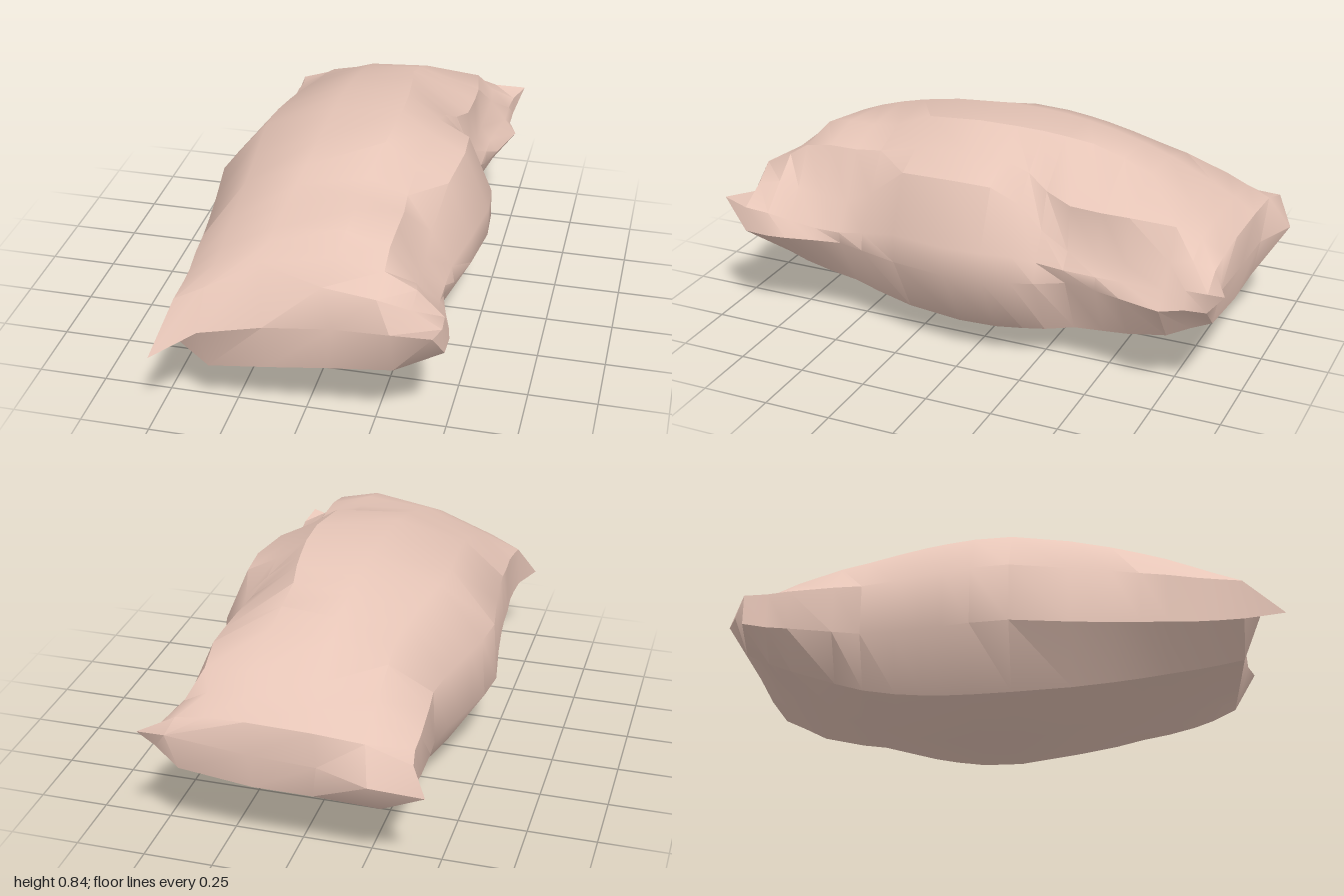
import * as THREE from 'three';
import { toCreasedNormals } from 'three/addons/utils/BufferGeometryUtils.js';

// Cross-sections [x, y, optional z shift], counter-clockwise from the underside
const MIDDLE = [[-.12, 0], [.15, .015], [.385, .13], [.515, .37], [.515, .48], [.42, .7], [.3, .76],
  [.185, .845], [-.07, .825], [-.33, .73], [-.5, .525], [-.515, .3], [-.375, .085]];
const FRONT = [[-.12, .24], [.1, .27], [.32, .3], [.49, .39], [.48, .48], [.38, .53], [.27, .57, .03],
  [.08, .565, -.01], [-.17, .6, -.07], [-.36, .51, -.01], [-.48, .46], [-.49, .31], [-.355, .21]];
const BACK = [[-.1, .3], [.13, .3], [.41, .33], [.49, .4], [.49, .47], [.41, .52], [.3, .53],
  [.15, .535], [-.1, .53], [-.3, .52], [-.48, .47], [-.48, .36], [-.36, .29]];

// Lengthwise stations: [z, width to -x, width to +x]
const STATIONS = [[-.92, .445, .465], [-.84, .43, .465], [-.76, .43, .5], [-.6, .42, .45], [-.5, .41, .42],
  [-.38, .43, .4], [-.28, .455, .45], [-.2, .475, .475], [-.1, .5, .505], [.04, .515, .515], [.25, .48, .49],
  [.4, .46, .455], [.5, .45, .435], [.6, .445, .46], [.7, .435, .49], [.77, .435, .505], [.86, .44, .505]];

// Pinched end seams [x, y, z], and the seam point each section corner folds to
const FRONT_SEAM = [[-.485, .305, 1], [-.33, .385, .93], [-.11, .42, .9], [.13, .45, .9], [.33, .47, .92], [.48, .5, .955]];
const BACK_SEAM = [[-.48, .36, -.935], [-.3, .41, -1], [-.11, .42, -.94], [.13, .43, -.94], [.42, .465, -.95], [.5, .49, -.99]];
const SEAM_INDEX = [2, 3, 4, 5, 5, 4, 4, 3, 2, 1, 0, 0, 1];

// Folds pressed into the upper +x side: centre z, spread, and where the corners move
const FOLDS = [
  { z: -.51, spread: .29, to: { 4: [.42, .43], 5: [.38, .48], 6: [.365, .65] } },
  { z: .55, spread: .19, to: { 4: [.44, .42], 5: [.37, .52], 6: [.29, .695], 7: [.14, .74] } },
];

const mix = THREE.MathUtils.lerp;

// How quickly each corner narrows towards an end
function taper(i, z) {
  if (i === 2) return 2.6;
  if (i >= 3 && i <= 10) return z > 0 ? 2 : 2.3;
  return z > 0 ? 1.3 : 2;
}

function section([z, left, right]) {
  const end = z > 0 ? FRONT : BACK;
  const t = Math.abs(z) / (z > 0 ? .88 : .93);
  return MIDDLE.map(([mx, my], i) => {
    const [ex, ey, shift = 0] = end[i];
    const bulge = 1 - Math.pow(t, taper(i, z));
    let x = mix(ex, mx, bulge), y = mix(ey, my, bulge);
    x *= (x < 0 ? left : right) / mix(.49, .515, bulge);
    for (const fold of FOLDS) {
      if (!fold.to[i]) continue;
      const w = Math.exp(-(((z - fold.z) / fold.spread) ** 4));
      x = mix(x, fold.to[i][0], w);
      y = mix(y, fold.to[i][1], w);
    }
    return [x, y, z + shift * t ** 6];
  });
}

function sackGeometry() {
  const seamRing = (seam) => SEAM_INDEX.map((k) => seam[k]);
  const rings = [seamRing(BACK_SEAM), ...STATIONS.map(section), seamRing(FRONT_SEAM)];
  const n = MIDDLE.length;
  const index = [];
  for (let j = 0; j < rings.length - 1; j++) {
    for (let i = 0; i < n; i++) {
      const a = j * n + i, b = j * n + (i + 1) % n;
      index.push(a, b, b + n, a, b + n, a + n);
    }
  }
  const geometry = new THREE.BufferGeometry();
  geometry.setAttribute('position', new THREE.Float32BufferAttribute(rings.flat(2), 3));
  geometry.setIndex(index);
  return toCreasedNormals(geometry, .65);
}

export function createModel() {
  const group = new THREE.Group();
  group.name = 'sack';
  const body = new THREE.Mesh(sackGeometry(),
    new THREE.MeshStandardMaterial({ color: 0xe6c5b7, side: THREE.DoubleSide }));
  body.name = 'sackBody';
  group.add(body);
  return group;
}
